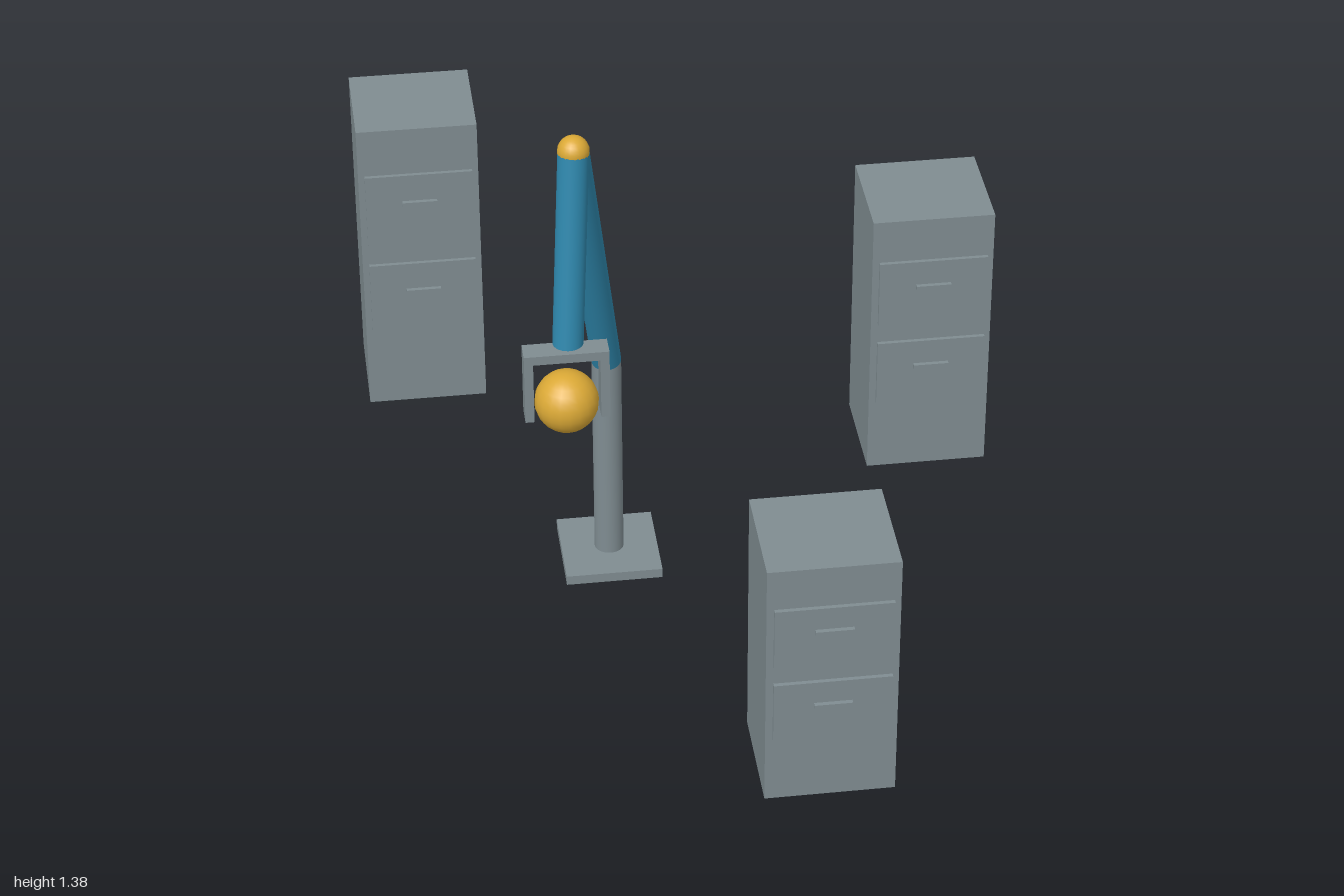
import * as THREE from 'three';

export function createModel() {
  const model = new THREE.Group();
  model.name = 'robotArmAndCabinets';

  const makeMaterial = (name, color) => {
    const m = new THREE.MeshStandardMaterial({ color });
    m.name = name;
    return m;
  };
  const grey = makeMaterial('steel grey', 0x7f8c91);
  const blue = makeMaterial('arm blue', 0x2e86ab);
  const gold = makeMaterial('joint gold', 0xdba936);

  const add = (parent, name, geometry, material, x, y, z) => {
    const mesh = new THREE.Mesh(geometry, material);
    mesh.name = name;
    mesh.position.set(x, y, z);
    parent.add(mesh);
    return mesh;
  };
  const box = (parent, name, w, h, d, x, y, z) =>
    add(parent, name, new THREE.BoxGeometry(w, h, d), grey, x, y, z);
  const ball = (parent, name, r, p) =>
    add(parent, name, new THREE.SphereGeometry(r, 20, 14), gold, p.x, p.y, p.z);

  // Cylinder between two points
  const rod = (parent, name, r, a, b, material) => {
    const dir = b.clone().sub(a);
    const mid = a.clone().add(b).multiplyScalar(0.5);
    const mesh = add(parent, name, new THREE.CylinderGeometry(r, r, dir.length(), 28),
      material, mid.x, mid.y, mid.z);
    mesh.quaternion.setFromUnitVectors(new THREE.Vector3(0, 1, 0), dir.normalize());
  };

  // Cabinets, each with two drawer fronts standing just off the body
  const cabinet = (name, x, z, h) => {
    const g = new THREE.Group();
    g.name = name;
    g.position.set(x, 0, z);
    box(g, 'cabinetBody', 0.304, h, 0.275, 0, h / 2, 0);
    for (const [label, level] of [['lower', 0.402], ['upper', 0.724]]) {
      box(g, label + 'Drawer', 0.272, 0.246 * h, 0.01, 0, level * h, 0.149);
      box(g, label + 'Handle', 0.088, 0.012, 0.0125, 0, (level + 0.025) * h, 0.1583);
    }
    model.add(g);
  };
  cabinet('rearCabinet', -0.622, -0.8625, 0.824);
  cabinet('sideCabinet', 0.618, -0.41, 0.736);
  cabinet('frontCabinet', 0.168, 0.8355, 0.651);

  // Robot arm
  const arm = new THREE.Group();
  arm.name = 'robotArm';
  model.add(arm);
  const foot = new THREE.Vector3(-0.229, 0.02, 0);
  const shoulder = new THREE.Vector3(-0.229, 0.58, 0);
  const elbow = new THREE.Vector3(-0.324, 1.338, 0.264);
  const wrist = new THREE.Vector3(-0.354, 0.847, 0.342);
  box(arm, 'basePlate', 0.237, 0.025, 0.237, -0.229, 0.0125, 0);
  rod(arm, 'column', 0.036, foot, shoulder, grey);
  ball(arm, 'shoulderJoint', 0.036, shoulder);
  rod(arm, 'upperArm', 0.036, shoulder, elbow, blue);
  ball(arm, 'elbowJoint', 0.037, elbow);
  rod(arm, 'forearm', 0.036, elbow, wrist, blue);

  // Gripper holding a ball
  const gripper = new THREE.Group();
  gripper.name = 'gripper';
  gripper.position.set(-0.361, 0, 0.362);
  arm.add(gripper);
  box(gripper, 'gripperBar', 0.197, 0.023, 0.053, 0, 0.8595, 0);
  for (const side of [-1, 1]) {
    box(gripper, side > 0 ? 'leftFinger' : 'rightFinger',
      0.021, 0.17, 0.053, side * 0.088, 0.775, 0);
  }
  add(gripper, 'heldBall', new THREE.SphereGeometry(0.075, 20, 14), gold, 0, 0.726, 0.001);

  return model;
}
